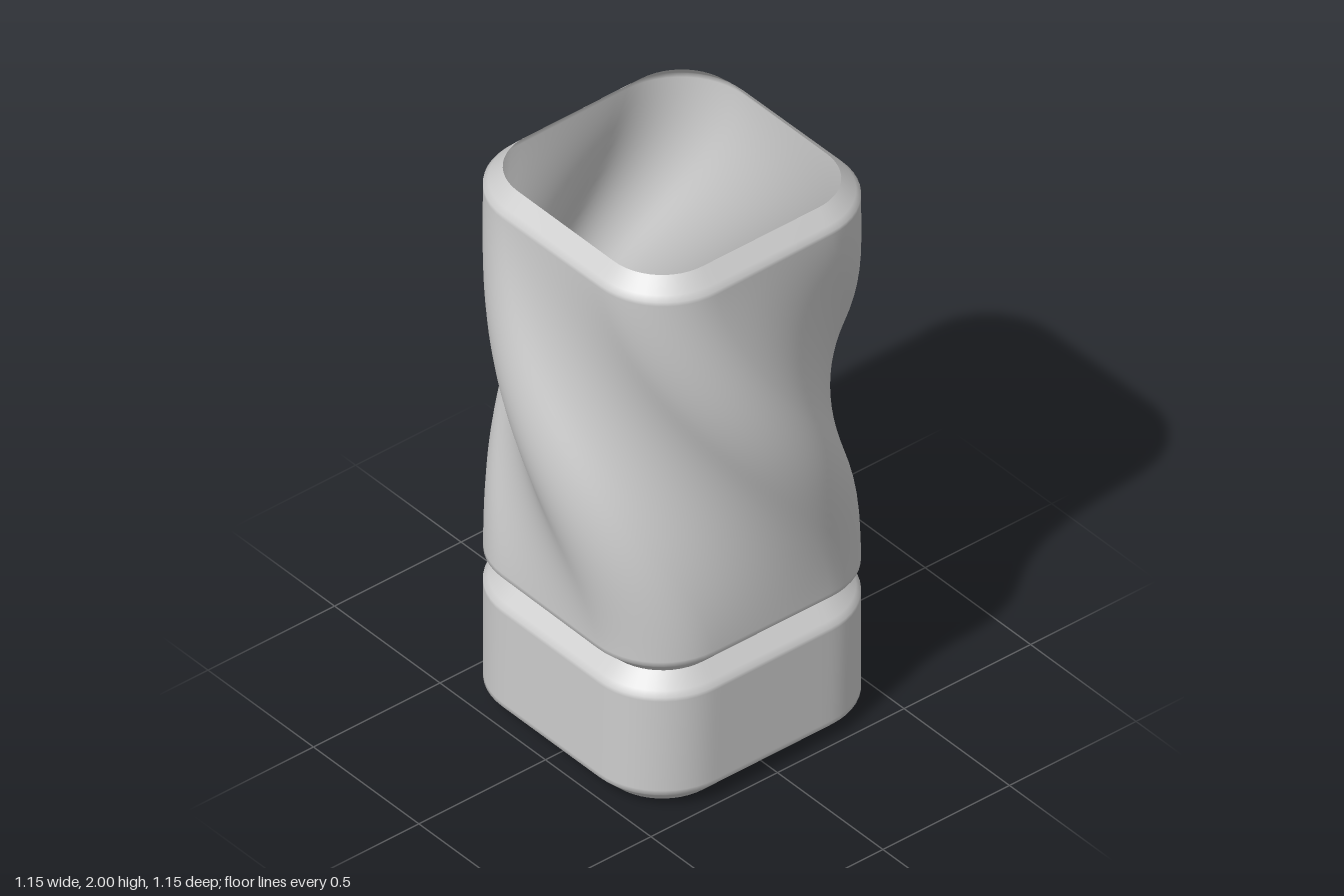
import * as THREE from 'three';

const HALF = 0.48, CORNER = 0.25, CHAMFER = 0.06;
const BASE_TOP = 0.49, TOP = 2;

// Rounded square outline, drawn in by an inset; sides are subdivided so they can twist
function outline(inset) {
  const core = HALF - CORNER, r = CORNER - inset, steps = 12, pts = [];
  for (let q = 0; q < 4; q++) {
    const a0 = q * Math.PI / 2;
    const turn = (x, z) => [x * Math.cos(a0) - z * Math.sin(a0), x * Math.sin(a0) + z * Math.cos(a0)];
    for (let i = 0; i < steps; i++) pts.push(turn(core + r, -core + 2 * core * i / steps));
    for (let i = 0; i < steps; i++) {
      const a = Math.PI / 2 * i / steps;
      pts.push(turn(core + r * Math.cos(a), core + r * Math.sin(a)));
    }
  }
  return pts;
}

// Skin a stack of rings { y, inset, scale, angle }
function loft(rings) {
  const pos = [], index = [];
  const n = outline(0).length;
  for (const { y, inset = 0, scale = 1, angle = 0 } of rings) {
    const c = Math.cos(angle) * scale, s = Math.sin(angle) * scale;
    for (const [x, z] of outline(inset)) pos.push(x * c - z * s, y, x * s + z * c);
  }
  for (let i = 0; i < rings.length - 1; i++) {
    for (let j = 0; j < n; j++) {
      const a = i * n + j, b = i * n + (j + 1) % n;
      index.push(a, a + n, b, b, a + n, b + n);
    }
  }
  const g = new THREE.BufferGeometry();
  g.setAttribute('position', new THREE.Float32BufferAttribute(pos, 3));
  g.setIndex(index);
  g.computeVertexNormals();
  return g;
}

// Vertical wall with chamfered ends; extra rings keep the chamfer shading tight
function wallRings(y0, y1, rows, angleAt) {
  const lo = y0 + CHAMFER, hi = y1 - CHAMFER, soft = 0.015;
  const list = [[y0, CHAMFER], [lo - soft, soft], [lo, 0]];
  for (let i = 0; i <= rows; i++) list.push([lo + soft + (hi - lo - 2 * soft) * i / rows, 0]);
  list.push([hi, 0], [hi + soft, soft], [y1, CHAMFER]);
  return list.map(([y, inset]) => ({ y, inset, angle: angleAt(y) }));
}

export function createModel() {
  const group = new THREE.Group();
  const grey = new THREE.MeshStandardMaterial({ color: 0xcccccc, side: THREE.DoubleSide });
  grey.name = 'light grey';
  const add = (name, geometry) => {
    const mesh = new THREE.Mesh(geometry, grey);
    mesh.name = name;
    group.add(mesh);
    return mesh;
  };

  // Straight base block with flat caps
  add('baseWall', loft(wallRings(0, BASE_TOP, 1, () => 0)));
  add('baseUnderside', loft([{ y: 0, inset: CHAMFER, scale: 0 }, { y: 0, inset: CHAMFER }]));
  add('cupFloor', loft([{ y: BASE_TOP, inset: CHAMFER }, { y: BASE_TOP, inset: CHAMFER, scale: 0 }]));

  // Open thin cup that eases through a quarter turn
  const twist = (y) => Math.PI / 2 * THREE.MathUtils.smoothstep(y, BASE_TOP, TOP);
  add('twistedCup', loft(wallRings(BASE_TOP, TOP, 80, twist)));

  // Low round steps in the middle of the floor
  [[0.25, 0.01], [0.15, 0.02]].forEach(([r, h], i) => {
    add('floorStep' + (i + 1), new THREE.CylinderGeometry(r, r, h, 64)).position.y = BASE_TOP + h / 2;
  });
  return group;
}
